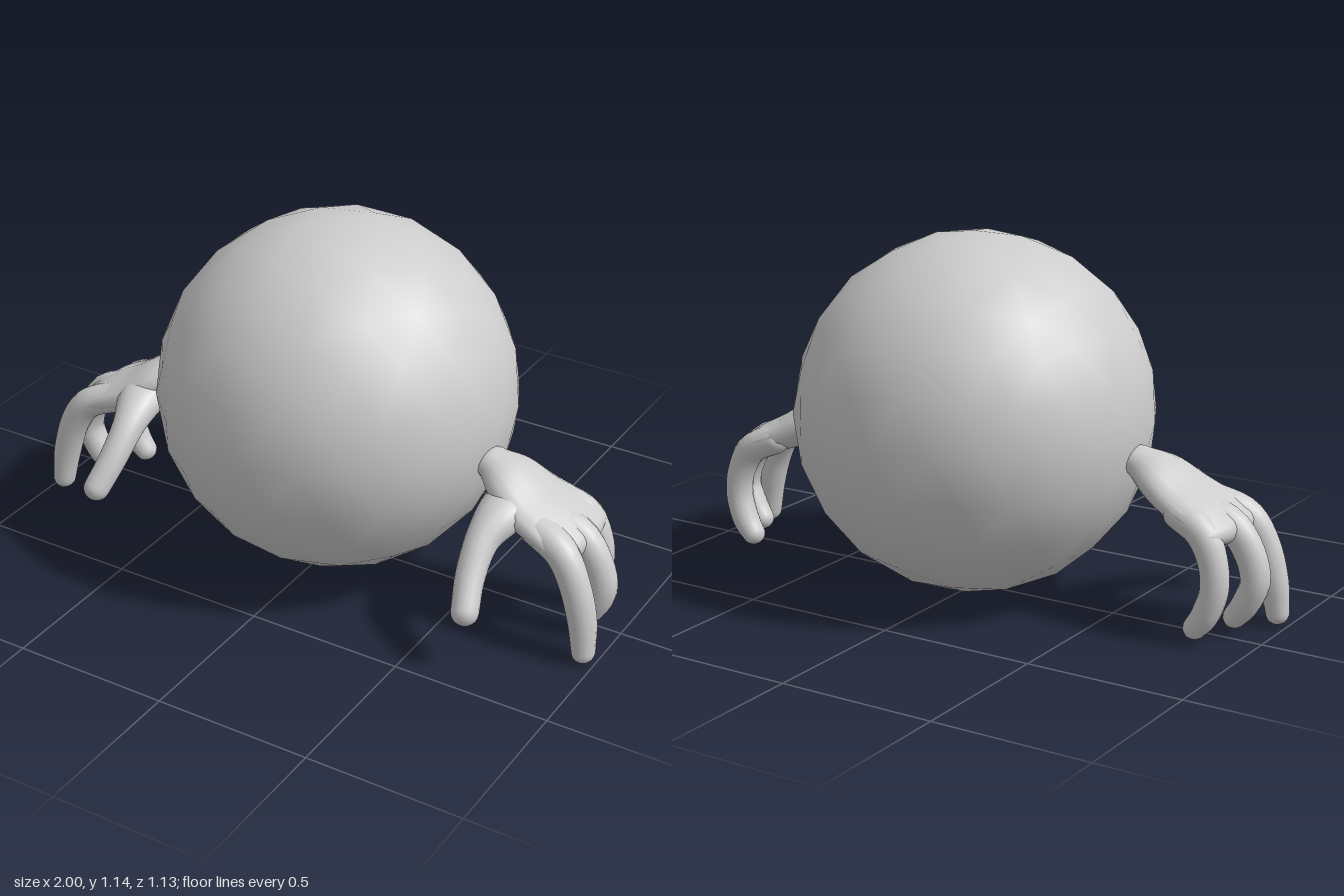
import * as THREE from 'three';
import { mergeVertices } from 'three/addons/utils/BufferGeometryUtils.js';

const SIDES = 16, STEPS = 18, CAP = 5;

// Rounded limb swept along points [x, y, z, halfWidth, halfThickness].
// "side" is the direction of the width; mirror is 1 or -1 along x.
function limb(points, side, mirror) {
  const path = new THREE.CatmullRomCurve3(points.map(p => new THREE.Vector3(p[0], p[1], p[2])), false, 'catmullrom', 0.5);
  const size = new THREE.CatmullRomCurve3(points.map(p => new THREE.Vector3(p[3], p[4], 0)), false, 'catmullrom', 0.5);
  const pos = [], index = [];

  const ring = (t, scale, offset) => {
    const tangent = path.getTangent(t);
    const across = side.clone().addScaledVector(tangent, -side.dot(tangent)).normalize();
    const normal = tangent.clone().cross(across);
    const r = size.getPoint(t);
    const centre = path.getPoint(t).addScaledVector(tangent, offset * Math.min(r.x, r.y));
    for (let j = 0; j < SIDES; j++) {
      const a = j / SIDES * Math.PI * 2;
      const p = centre.clone()
        .addScaledVector(across, Math.cos(a) * r.x * scale)
        .addScaledVector(normal, Math.sin(a) * r.y * scale);
      pos.push(p.x * mirror, p.y, p.z);
    }
  };

  // Rounded start, body, rounded tip
  for (let k = CAP; k > 0; k--) {
    const a = k / CAP * Math.PI / 2;
    ring(0, Math.cos(a), -Math.sin(a));
  }
  for (let i = 0; i <= STEPS; i++) ring(i / STEPS, 1, 0);
  for (let k = 1; k <= CAP; k++) {
    const a = k / CAP * Math.PI / 2;
    ring(1, Math.cos(a), Math.sin(a));
  }

  const rings = pos.length / 3 / SIDES;
  for (let i = 0; i < rings - 1; i++) {
    for (let j = 0; j < SIDES; j++) {
      const k = (j + 1) % SIDES;
      const a = i * SIDES + j, b = i * SIDES + k, c = b + SIDES, d = a + SIDES;
      if (mirror > 0) index.push(a, b, c, a, c, d);
      else index.push(a, c, b, a, d, c);
    }
  }
  let geo = new THREE.BufferGeometry();
  geo.setAttribute('position', new THREE.Float32BufferAttribute(pos, 3));
  geo.setIndex(index);
  geo = mergeVertices(geo, 1e-5);
  geo.computeVertexNormals();
  return geo;
}

const Z = new THREE.Vector3(0, 0, 1);
const X = new THREE.Vector3(1, 0, 0);

// Parts of the left hand: name, width direction, path
const HAND = [
  ['palm', Z, [
    [0.565, 0.495, 0.035, 0.065, 0.048],
    [0.63, 0.462, 0.04, 0.115, 0.062],
    [0.71, 0.412, 0.045, 0.145, 0.062],
    [0.80, 0.375, 0.045, 0.162, 0.052],
    [0.865, 0.34, 0.045, 0.162, 0.044]]],
  ['indexFinger', Z, [
    [0.76, 0.385, 0.13, 0.06, 0.05],
    [0.86, 0.345, 0.16, 0.052, 0.05],
    [0.915, 0.26, 0.175, 0.047, 0.048],
    [0.948, 0.15, 0.18, 0.046, 0.045],
    [0.962, 0.045, 0.187, 0.04, 0.036]]],
  ['middleFinger', Z, [
    [0.76, 0.385, 0.045, 0.06, 0.05],
    [0.87, 0.345, 0.045, 0.052, 0.05],
    [0.93, 0.265, 0.047, 0.047, 0.048],
    [0.95, 0.18, 0.047, 0.048, 0.045],
    [0.92, 0.105, 0.047, 0.046, 0.042],
    [0.888, 0.062, 0.047, 0.04, 0.036]]],
  ['littleFinger', Z, [
    [0.75, 0.385, -0.05, 0.06, 0.05],
    [0.83, 0.345, -0.072, 0.052, 0.05],
    [0.872, 0.265, -0.08, 0.047, 0.045],
    [0.88, 0.18, -0.082, 0.047, 0.043],
    [0.855, 0.1, -0.084, 0.046, 0.042],
    [0.823, 0.055, -0.085, 0.04, 0.036]]],
  ['thumb', X, [
    [0.665, 0.425, 0.07, 0.085, 0.055],
    [0.655, 0.405, 0.16, 0.075, 0.06],
    [0.642, 0.36, 0.245, 0.052, 0.052],
    [0.648, 0.28, 0.325, 0.045, 0.046],
    [0.668, 0.2, 0.39, 0.042, 0.044]]],
];

export function createModel() {
  const grey = new THREE.MeshStandardMaterial({ color: 0xcccccc });
  grey.name = 'plain grey';
  const model = new THREE.Group();
  model.name = 'ballWithHands';

  // Round body, one vertex pointing straight up
  const ball = new THREE.IcosahedronGeometry(0.566, 3);
  ball.rotateZ(-0.5536);
  const body = new THREE.Mesh(ball, grey);
  body.name = 'body';
  body.position.y = 0.579;
  model.add(body);

  // Mirrored pair of hands
  for (const [name, mirror] of [['leftHand', 1], ['rightHand', -1]]) {
    const hand = new THREE.Group();
    hand.name = name;
    for (const [part, side, points] of HAND) {
      const mesh = new THREE.Mesh(limb(points, side, mirror), grey);
      mesh.name = part;
      hand.add(mesh);
    }
    model.add(hand);
  }
  return model;
}
